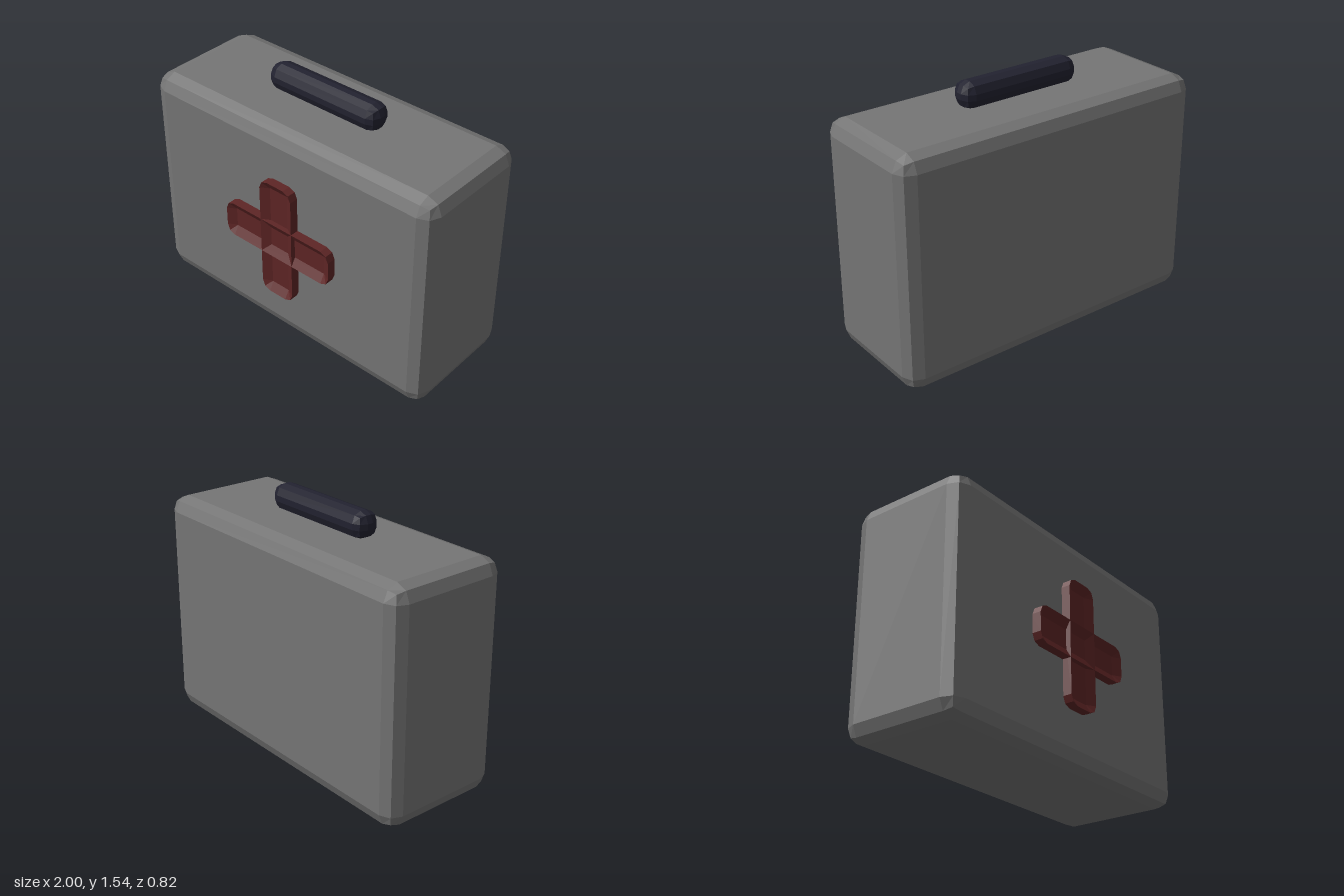
import * as THREE from 'three';
import { RoundedBoxGeometry } from 'three/addons/geometries/RoundedBoxGeometry.js';

const mat = (name, color) => {
  const m = new THREE.MeshStandardMaterial({ color });
  m.name = name;
  return m;
};

// Box with two-step faceted bevels
function facetedBox(w, h, d, r) {
  const g = new RoundedBoxGeometry(w, h, d, 1, r);
  g.computeVertexNormals();
  return g;
}

// Rectangle outline with one middle point per rounded corner
function outline(w, h, r, z, inset = r) {
  const pts = [];
  for (let c = 0; c < 4; c++) {
    const sx = c === 0 || c === 3 ? 1 : -1;
    const sy = c < 2 ? 1 : -1;
    for (let k = 0; k < 3; k++) {
      const a = (c * 2 + k) * Math.PI / 4;
      pts.push([
        sx * (w / 2 - inset) + r * Math.cos(a),
        sy * (h / 2 - inset) + r * Math.sin(a),
        z,
      ]);
    }
  }
  return pts;
}

// Bar with straight outer walls and a dished front
function dishedBar(w, h, r, zBack, zRim, zFloor) {
  const rings = [
    outline(w, h, r, zBack),
    outline(w, h, r, zRim),
    outline(w, h, 0.003, zFloor, r),
  ];
  const pos = [];
  const tri = (...corners) => corners.forEach((p) => pos.push(...p));
  const n = rings[0].length;
  for (let i = 0; i < n; i++) {
    const j = (i + 1) % n;
    for (let k = 0; k < 2; k++) {
      const [a, b, c, d] = [rings[k][i], rings[k][j], rings[k + 1][j], rings[k + 1][i]];
      tri(a, b, c);
      tri(a, c, d);
    }
    tri([0, 0, zFloor], rings[2][i], rings[2][j]);
    tri([0, 0, zBack], rings[0][j], rings[0][i]);
  }
  const g = new THREE.BufferGeometry();
  g.setAttribute('position', new THREE.Float32BufferAttribute(pos, 3));
  g.computeVertexNormals();
  return g;
}

export function createModel() {
  const group = new THREE.Group();
  group.name = 'firstAidCase';
  const grey = mat('caseGrey', 0x757575);
  const red = mat('crossRed', 0x5e2525);
  const navy = mat('handleNavy', 0x222230);

  const add = (name, geometry, material, x, y, z) => {
    const mesh = new THREE.Mesh(geometry, material);
    mesh.name = name;
    mesh.position.set(x, y, z);
    group.add(mesh);
  };

  // Case and carrying handle
  add('case', facetedBox(2, 1.385, 0.765, 0.09), grey, 0, 0.6925, -0.0275);
  add('handle', facetedBox(0.77, 0.155, 0.155, 0.06), navy, 0, 1.4625, -0.0275);

  // Raised cross on the front
  add('crossHorizontal', dishedBar(0.77, 0.225, 0.055, 0.34, 0.41, 0.38), red, 0, 0.695, 0);
  add('crossVertical', dishedBar(0.23, 0.77, 0.055, 0.34, 0.41, 0.38), red, 0, 0.695, 0);

  return group;
}
